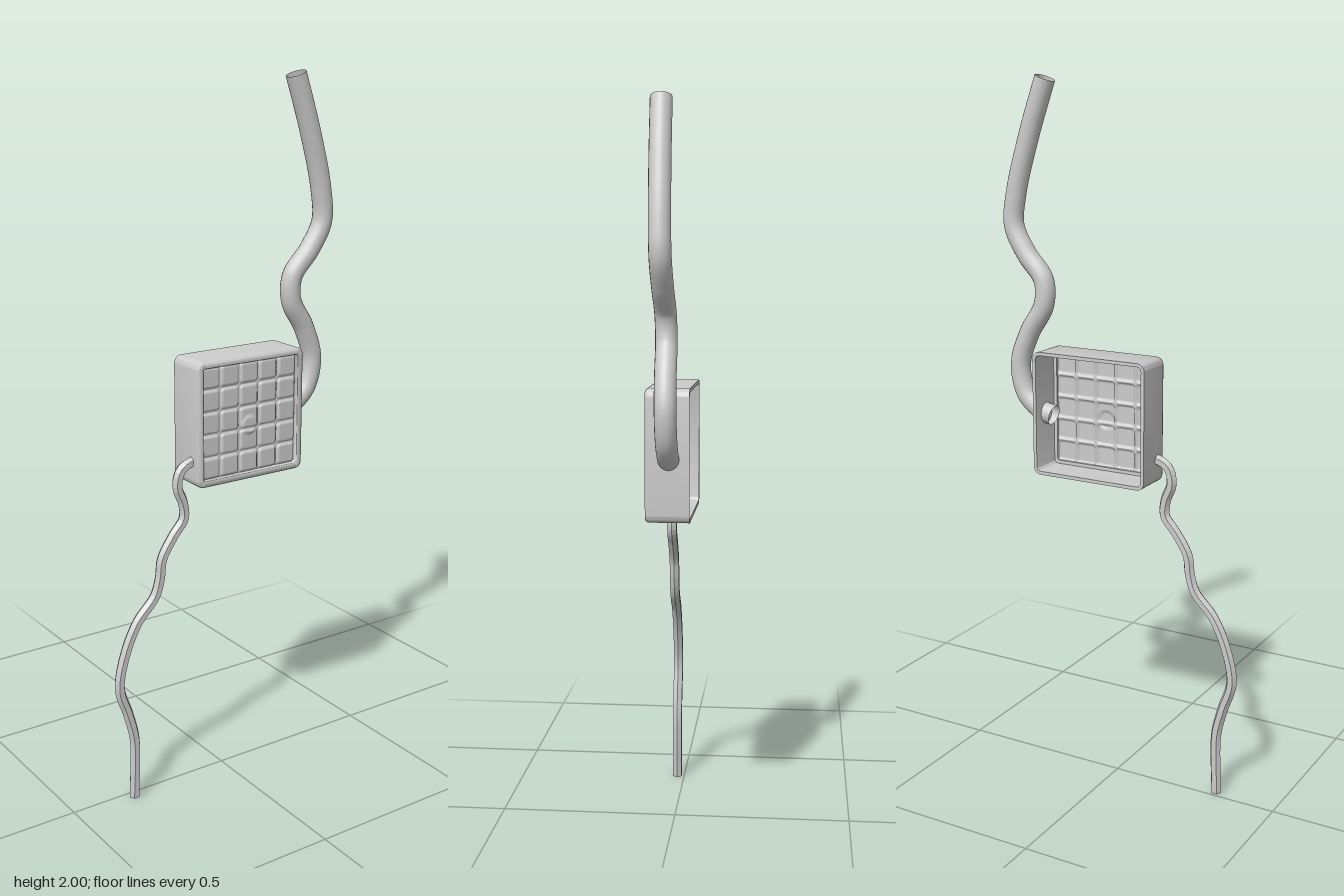
import * as THREE from 'three';
import { toCreasedNormals } from 'three/addons/utils/BufferGeometryUtils.js';

const CX = 0.0625, CY = 1.075, HALF = 0.1775;

function material(extra = {}) {
  return new THREE.MeshStandardMaterial({ color: 0xcccccc, side: THREE.DoubleSide, ...extra });
}

// Outline of a rounded square, counter-clockwise
function roundedSquare(half, radius, steps = 6) {
  const points = [];
  for (let corner = 0; corner < 4; corner++) {
    const start = corner * Math.PI / 2;
    const sx = corner === 0 || corner === 3 ? 1 : -1;
    const sy = corner < 2 ? 1 : -1;
    for (let i = 0; i <= steps; i++) {
      const a = start + (i / steps) * Math.PI / 2;
      points.push([sx * (half - radius) + Math.cos(a) * radius, sy * (half - radius) + Math.sin(a) * radius]);
    }
  }
  return points;
}

// Open-backed housing: one loft through rounded squares, each [inset, z]
function housingGeometry() {
  const profile = [
    [0.02, 0.036], [0.01, 0.036], [0.01, -0.06], [0, -0.06], [0, 0.05],
    [0.002, 0.055], [0.007, 0.058], [0.016, 0.058], [0.019, 0.056], [0.02, 0.053], [0.02, 0.036],
  ];
  const positions = [], indices = [];
  let count = 0;
  for (const [inset, z] of profile) {
    const ring = roundedSquare(HALF - inset, Math.max(0.022 - inset, 0.006));
    count = ring.length;
    for (const [x, y] of ring) positions.push(x, y, z);
  }
  for (let r = 0; r < profile.length - 1; r++) {
    for (let i = 0; i < count; i++) {
      const a = r * count + i, b = r * count + (i + 1) % count;
      indices.push(a, b, b + count, a, b + count, a + count);
    }
  }
  const geometry = new THREE.BufferGeometry();
  geometry.setAttribute('position', new THREE.Float32BufferAttribute(positions, 3));
  geometry.setIndex(indices);
  return toCreasedNormals(geometry, 0.7);
}

// Thin panel pressed into 5 x 5 soft tiles with a small round boss near the middle
function panelGeometry() {
  const size = 0.324, cell = 0.064;
  const geometry = new THREE.PlaneGeometry(size, size, 100, 100);
  const p = geometry.attributes.position;
  const smooth = THREE.MathUtils.smoothstep;
  for (let i = 0; i < p.count; i++) {
    const x = p.getX(i), y = p.getY(i);
    const dx = Math.abs(x / cell - Math.round(x / cell)) * cell;
    const dy = Math.abs(y / cell - Math.round(y / cell)) * cell;
    // Distance to the edge of a rounded tile
    const r = 0.012, flat = cell / 2 - r;
    const d = r - Math.hypot(Math.max(dx - flat, 0), Math.max(dy - flat, 0));
    const tile = 0.006 * smooth(d, 0.001, 0.007);
    const boss = 0.004 * (1 - smooth(Math.hypot(x, y + 0.022), 0.02, 0.03));
    p.setZ(i, tile + boss);
  }
  geometry.computeVertexNormals();
  return geometry;
}

function createCurve(points) {
  return new THREE.CatmullRomCurve3(points.map(([x, y, z]) => new THREE.Vector3(x, y, z)), false, 'centripetal');
}

export function createModel() {
  const model = new THREE.Group();
  model.name = 'boxWithCables';
  const add = (name, geometry, mat) => {
    const mesh = new THREE.Mesh(geometry, mat);
    mesh.name = name;
    model.add(mesh);
    return mesh;
  };

  add('housing', housingGeometry(), material()).position.set(CX, CY, 0);
  add('tiledPanel', panelGeometry(), material()).position.set(CX, CY, 0.041);

  // Thick hose rising from the left wall
  const hose = createCurve([
    [0.205, 1.062, -0.005], [0.245, 1.072, -0.005], [0.295, 1.115, -0.005], [0.315, 1.2, -0.004],
    [0.285, 1.292, -0.002], [0.237, 1.375, 0], [0.238, 1.445, 0.002], [0.295, 1.515, 0.004],
    [0.335, 1.59, 0.006], [0.328, 1.68, 0.008], [0.284, 1.84, 0.011], [0.232, 1.99, 0.013],
  ]);
  add('thickHose', new THREE.TubeGeometry(hose, 110, 0.029, 16), material());

  // Thin six-sided cable hanging from the right wall
  const cable = createCurve([
    [-0.09, 0.97], [-0.12, 0.967], [-0.15, 0.948], [-0.16, 0.905], [-0.142, 0.855], [-0.14, 0.81],
    [-0.175, 0.765], [-0.212, 0.705], [-0.22, 0.65], [-0.237, 0.6], [-0.295, 0.535], [-0.337, 0.445],
    [-0.355, 0.35], [-0.33, 0.265], [-0.311, 0.18], [-0.315, 0],
  ].map(([x, y]) => [x, y, 0.021]));
  // Quarter turn of the section so an edge points sideways
  const frames = cable.computeFrenetFrames.bind(cable);
  cable.computeFrenetFrames = (segments, closed) => {
    const f = frames(segments, closed);
    return { tangents: f.tangents, normals: f.binormals, binormals: f.normals.map((n) => n.clone().negate()) };
  };
  add('thinCable', new THREE.TubeGeometry(cable, 90, 0.0155, 6), material({ flatShading: true }));

  return model;
}
